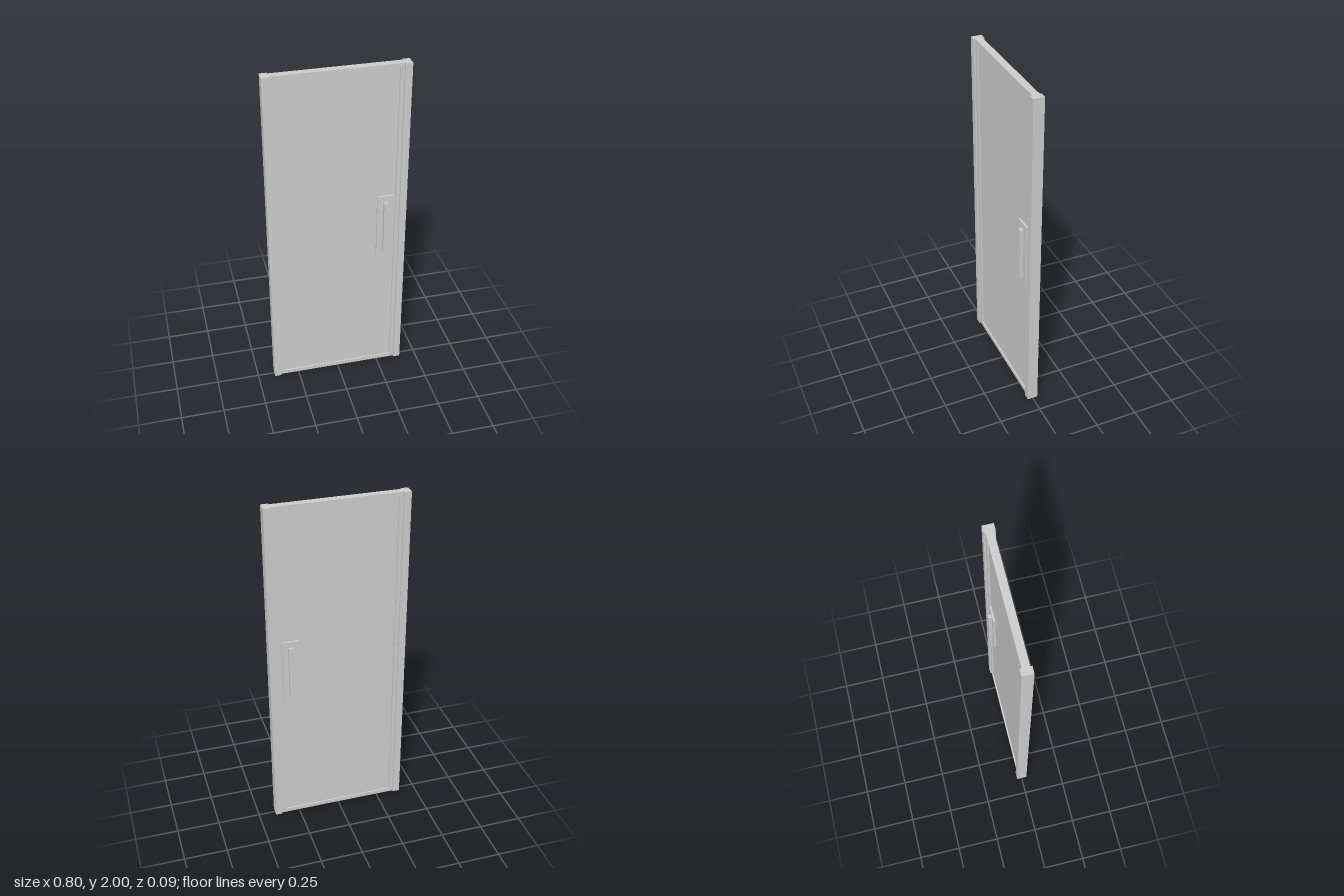
import * as THREE from 'three';

export function createModel() {
  const door = new THREE.Group();
  door.name = 'door';
  const material = new THREE.MeshStandardMaterial({ color: 0xcccccc, flatShading: true });

  // Box given by its x and y limits and its z limits
  function box(name, x0, x1, y0, y1, z0, z1) {
    const mesh = new THREE.Mesh(new THREE.BoxGeometry(x1 - x0, y1 - y0, z1 - z0), material);
    mesh.position.set((x0 + x1) / 2, (y0 + y1) / 2, (z0 + z1) / 2);
    mesh.name = name;
    door.add(mesh);
  }

  // Outer jamb posts
  box('rightPost', -0.4, -0.36, 0, 2, -0.031, 0.031);
  box('leftPost', 0.36, 0.4, 0, 2, -0.031, 0.031);

  // Leaf frame: one extruded rectangle with an opening
  const outline = new THREE.Shape([[-0.36, 0], [0.36, 0], [0.36, 2], [-0.36, 2]].map(p => new THREE.Vector2(...p)));
  outline.holes.push(new THREE.Path([[-0.336, 0.024], [-0.336, 1.98], [0.336, 1.98], [0.336, 0.024]].map(p => new THREE.Vector2(...p))));
  const frameGeometry = new THREE.ExtrudeGeometry(outline, { depth: 0.042, bevelEnabled: false });
  frameGeometry.translate(0, 0, -0.021);
  const frame = new THREE.Mesh(frameGeometry, material);
  frame.name = 'leafFrame';
  door.add(frame);

  // Six recessed vertical planks
  const count = 6, width = 0.672 / count;
  for (let i = 0; i < count; i++) {
    const x = -0.336 + i * width;
    box('plank' + (i + 1), x, x + width, 0.024, 1.98, -0.012, 0.012);
  }

  // Handle plate and grip on both faces
  for (const [side, s] of [['front', 1], ['back', -1]]) {
    const span = (a, b) => (s > 0 ? [a, b] : [-b, -a]);
    box(side + 'HandlePlate', 0.23, 0.325, 0.8, 1.2, ...span(0.01, 0.024));
    box(side + 'HandleGrip', 0.265, 0.291, 0.84, 1.165, ...span(0.022, 0.044));
  }

  return door;
}
